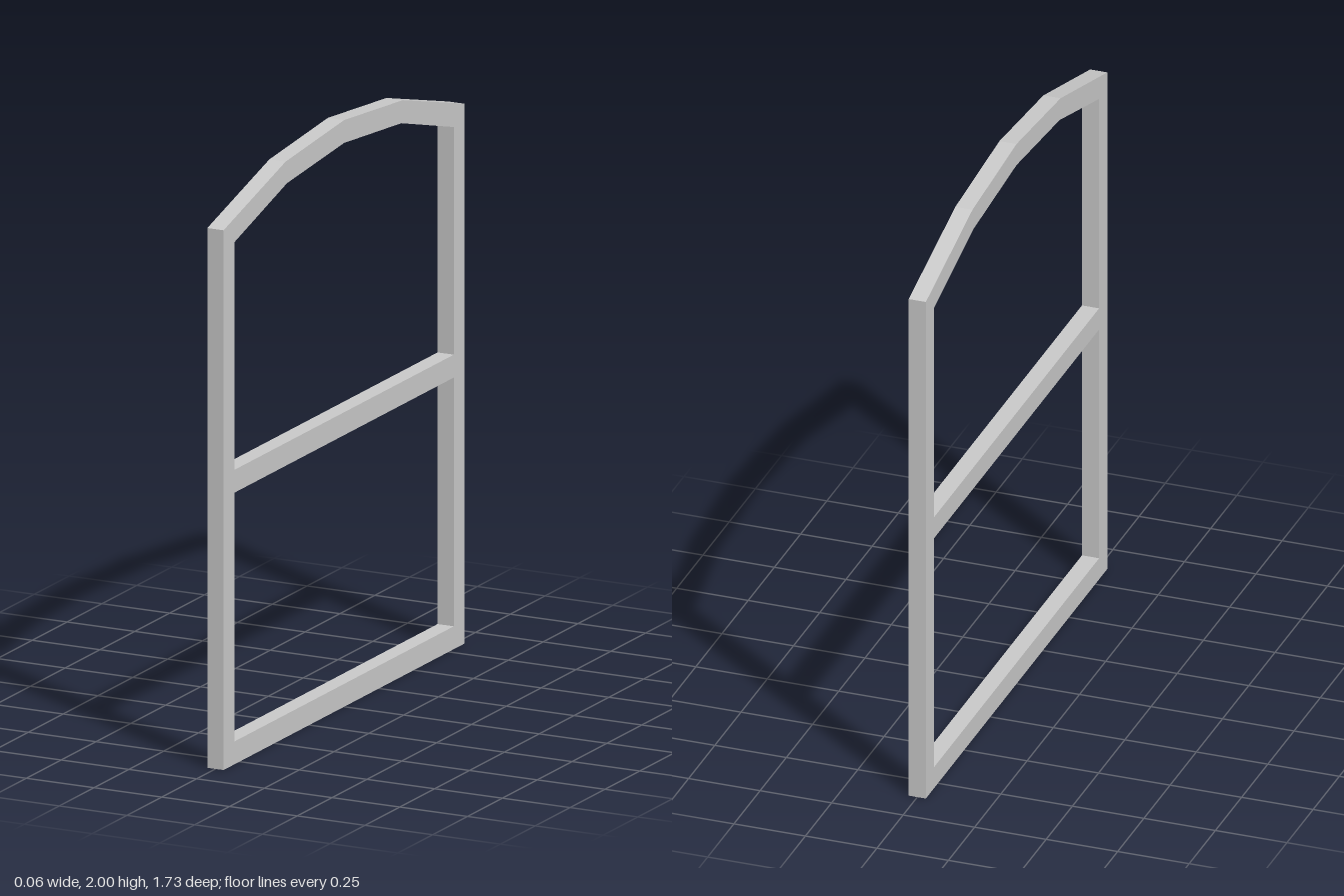
import * as THREE from 'three';

const THICKNESS = 0.06;

// Closed outline, mirrored about the vertical centre line, from its right half (bottom to crown)
function mirroredOutline(half) {
  const right = half.map(([u, y]) => new THREE.Vector2(u, y));
  const left = right.filter((p) => p.x > 0).map((p) => new THREE.Vector2(-p.x, p.y)).reverse();
  return [...right, ...left];
}

export function createModel() {
  const model = new THREE.Group();
  model.name = 'archedWindowFrame';
  const material = new THREE.MeshStandardMaterial({ color: 0xcccccc, flatShading: true });

  // Outer frame: sill, two stiles and a four-segment arched head around one opening
  const outline = new THREE.Shape(mirroredOutline([[0.865, 0], [0.865, 1.84], [0.42, 1.963], [0, 2]]));
  const opening = mirroredOutline([[0.787, 0.078], [0.787, 1.78], [0.41, 1.887], [0, 1.922]]);
  outline.holes.push(new THREE.Path(opening));
  const frameGeometry = new THREE.ExtrudeGeometry(outline, { depth: THICKNESS, bevelEnabled: false });
  frameGeometry.translate(0, 0, -THICKNESS / 2);
  frameGeometry.rotateY(Math.PI / 2);
  const frame = new THREE.Mesh(frameGeometry, material);
  frame.name = 'archedFrame';
  model.add(frame);

  // Horizontal bar between the stiles
  const crossbar = new THREE.Mesh(new THREE.BoxGeometry(THICKNESS, 0.078, 0.787 * 2), material);
  crossbar.name = 'crossbar';
  crossbar.position.y = 0.965;
  model.add(crossbar);

  return model;
}
